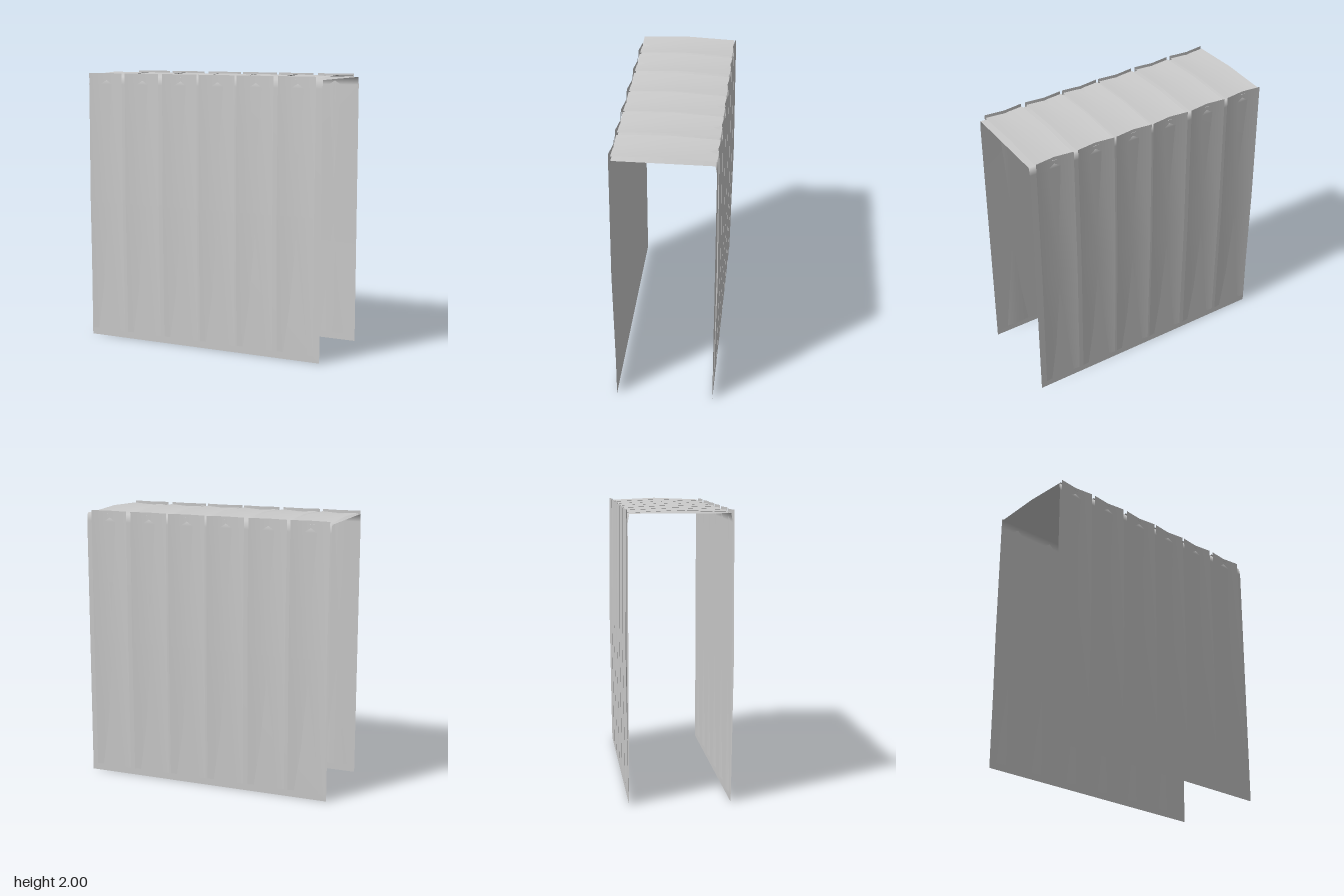
import * as THREE from 'three';

const material = new THREE.MeshStandardMaterial({ color: 0xcccccc, side: THREE.DoubleSide });

// Surface through rows of points; each row runs along +x, rows follow the path.
function loft(name, rows) {
  const n = rows[0].length;
  const index = [];
  for (let r = 0; r < rows.length - 1; r++) {
    for (let c = 0; c < n - 1; c++) {
      const a = r * n + c;
      index.push(a, a + 1, a + n, a + 1, a + n + 1, a + n);
    }
  }
  const geometry = new THREE.BufferGeometry();
  geometry.setAttribute('position', new THREE.Float32BufferAttribute(rows.flat(2), 3));
  geometry.setIndex(index);
  geometry.computeVertexNormals();
  const mesh = new THREE.Mesh(geometry, material);
  mesh.name = name;
  return mesh;
}

const HALF = 0.142; // half width of a plank

// Upright plank: shallow V in plan, bowed outward at mid height.
// Each station: height, z of the centre crease, z of the flared edges.
function wallPlank(x) {
  const stations = [[0.05, 0.341, 0.354], [1.03, 0.351, 0.367], [2, 0.3435, 0.36]];
  return loft('wallPlank', stations.map(([y, mid, edge]) =>
    [[x - HALF, y, edge], [x, y, mid], [x + HALF, y, edge]]));
}

// Roof plank: shallow V, arched from front to back.
function roofPlank(x) {
  const stations = [[0.347, 1.9755], [0, 1.99], [-0.347, 1.9755]];
  return loft('roofPlank', stations.map(([z, y]) =>
    [[x - HALF, y + 0.01, z], [x, y, z], [x + HALF, y + 0.01, z]]));
}

export function createModel() {
  const model = new THREE.Group();
  model.name = 'plankedCover';

  // Backing sheet: front wall, small bevel, roof, bevel, back wall
  const front = [[0.3495, 0], [0.3495, 1.92], [0.3385, 1.978]];
  const profile = [...front, ...front.map(([z, y]) => [-z, y]).reverse()];
  model.add(loft('backingSheet', profile.map(([z, y]) => [[-0.94, y, z], [0.94, y, z]])));

  // Six planks on the front, the roof and the back
  const centres = [-0.79, -0.48, -0.163, 0.137, 0.437, 0.755];
  const frontWall = new THREE.Group();
  frontWall.name = 'frontPlanks';
  const backWall = new THREE.Group();
  backWall.name = 'backPlanks';
  backWall.rotation.y = Math.PI;
  const roof = new THREE.Group();
  roof.name = 'roofPlanks';
  for (const x of centres) {
    frontWall.add(wallPlank(x));
    backWall.add(wallPlank(-x));
    roof.add(roofPlank(x));
  }
  model.add(frontWall, backWall, roof);
  return model;
}
